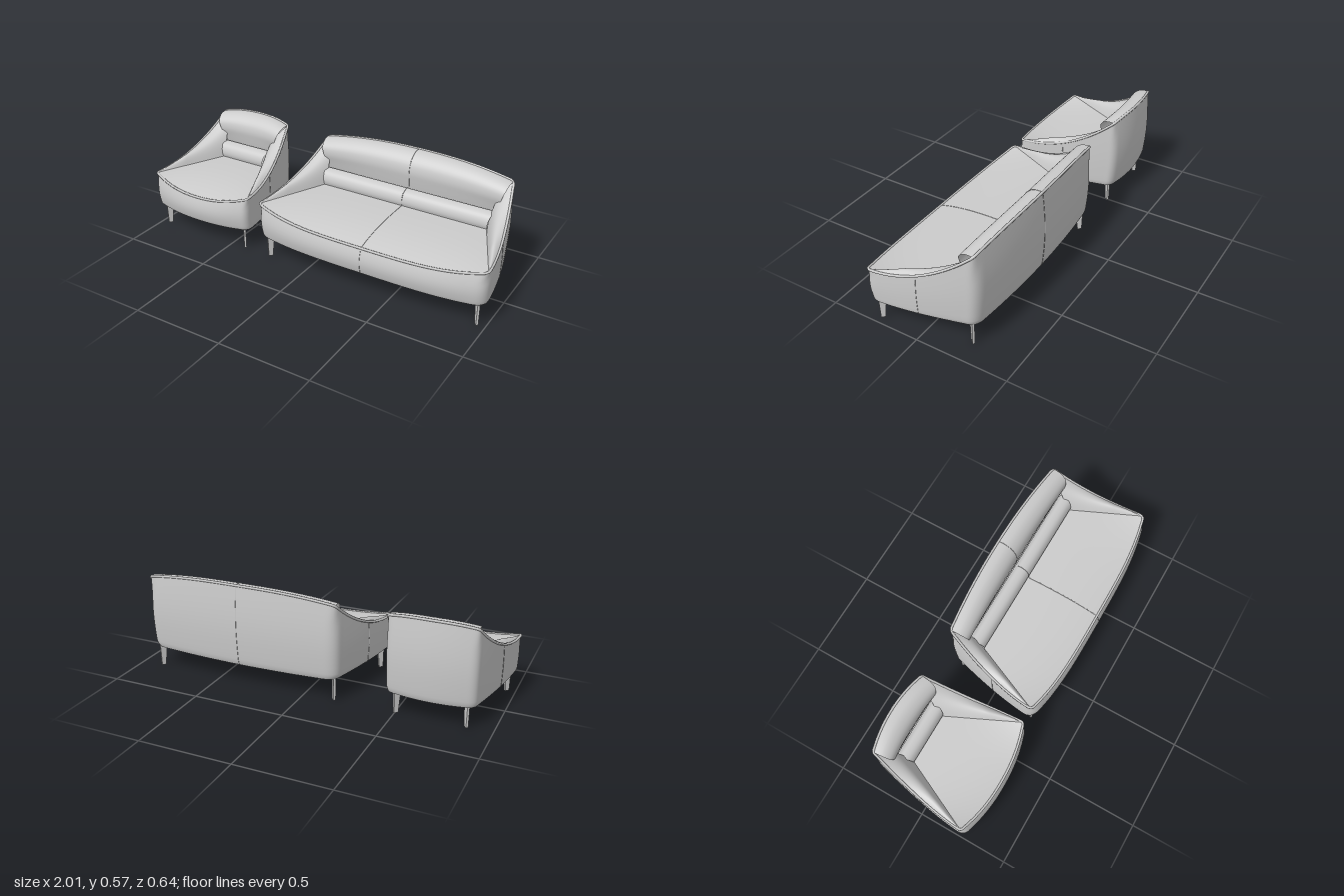
import * as THREE from 'three';
import { ParametricGeometry } from 'three/addons/geometries/ParametricGeometry.js';

const grey = new THREE.MeshStandardMaterial({ color: 0xcccccc, side: THREE.DoubleSide });
const V = (x, y, z) => new THREE.Vector3(x, y, z);
const BASE = 0.122, N = 220;

function add(group, name, geometry) {
  const mesh = new THREE.Mesh(geometry, grey);
  mesh.name = name;
  group.add(mesh);
  return mesh;
}

// Smooth surface from a function (u, v) -> Vector3
function patch(fn, nu, nv) {
  const g = new ParametricGeometry((u, v, target) => target.copy(fn(u, v)), nu, nv);
  g.computeVertexNormals();
  return g;
}

function tube(points, radius, closed = false) {
  const curve = new THREE.CatmullRomCurve3(points, closed);
  return new THREE.TubeGeometry(curve, closed ? 260 : 40, radius, 6, closed);
}

// Moving average round a closed loop, which rounds its corners
function smoothLoop(pts, k) {
  return pts.map((_, i) => {
    const sum = V(0, 0, 0);
    for (let d = -k; d <= k; d++) sum.add(pts[(i + d + N) % N]);
    return sum.divideScalar(2 * k + 1);
  });
}

// Thin bracket leg: tapered post with a short arm pointing inwards
function legGeometry() {
  const s = new THREE.Shape();
  [[0.003, 0], [0.026, 0], [0.036, 0.1], [0.155, 0.112], [0.155, 0.124], [0, 0.124]]
    .forEach(([a, y], i) => (i ? s.lineTo(a, y) : s.moveTo(a, y)));
  const g = new THREE.ExtrudeGeometry(s, { depth: 0.012, bevelEnabled: false });
  return g.translate(0, 0, -0.006);
}

function seatUnit({ name, x, wf, wb, ws, crown, p, seam, rearLeg }) {
  const unit = new THREE.Group();
  unit.name = name;
  unit.position.x = x;

  // Rim curves: t runs -1..1 across, s runs 0..1 from front to back
  const hump = (t, e) => 1 - Math.abs(t) ** e;
  const front = t => V(t * wf, 0.315 - 0.045 * hump(t, p), 0.26 + 0.05 * hump(t, p));
  const side = (s, m) => V(m * (wf + (wb - wf) * s ** 1.5), 0.315 + 0.215 * s ** 2.2, 0.26 - 0.53 * s);
  const back = t => V(t * wb, 0.53 + crown * hump(t, 2.5), -0.27 - 0.03 * hump(t, 2));

  const raw = [];
  const K = 30;
  for (let i = 0; i < K; i++) raw.push(front(2 * i / K - 1));
  for (let i = 0; i < K; i++) raw.push(side(i / K, 1));
  for (let i = 0; i < K; i++) raw.push(back(1 - 2 * i / K));
  for (let i = 0; i < K; i++) raw.push(side(1 - i / K, -1));
  const spaced = new THREE.CatmullRomCurve3(raw, true).getSpacedPoints(N).slice(0, N);
  const rim = smoothLoop(spaced, 1);
  const soft = smoothLoop(spaced, 3);

  // Outer shell: rim outline dropped to the base with a slight belly
  const shellPoint = (i, v) => {
    const q = rim[i].clone().lerp(soft[i], Math.min(1, (1 - v) * 4));
    const belly = Math.sin(Math.PI * v);
    const tuck = 1 - 0.02 * (1 - Math.min(v / 0.08, 1)) ** 2;
    return V(q.x * (1 + 0.008 * belly) * tuck, BASE + (rim[i].y - BASE) * v, q.z * (1 + 0.05 * belly) * tuck);
  };
  const rows = [0, 0.02, 0.045, 0.08, 0.16, 0.28, 0.4, 0.52, 0.64, 0.76, 0.86, 0.94, 1];
  const pos = [], idx = [];
  rows.forEach((v, j) => {
    for (let i = 0; i < N; i++) {
      pos.push(...shellPoint(i, v).toArray());
      if (j === 0) continue;
      const n = (i + 1) % N, a = (j - 1) * N, b = j * N;
      idx.push(a + i, a + n, b + n, a + i, b + n, b + i);
    }
  });
  const shell = new THREE.BufferGeometry();
  shell.setAttribute('position', new THREE.Float32BufferAttribute(pos, 3));
  shell.setIndex(idx);
  shell.computeVertexNormals();
  add(unit, 'outerShell', shell);

  // Flat underside
  const outline = new THREE.Shape(rim.map((_, i) => {
    const q = shellPoint(i, 0);
    return new THREE.Vector2(q.x, q.z);
  }));
  add(unit, 'underside', new THREE.ShapeGeometry(outline).rotateX(Math.PI / 2).translate(0, BASE, 0));

  add(unit, 'rimPiping', tube(rim, 0.007, true));

  // Seat cushion, falling to the dipped front rim
  const seat = (u, v) => {
    const t = 2 * u - 1, f = front(t), y0 = 0.315 - 0.005 * v;
    return V(f.x + (t * ws - f.x) * v, y0 - (0.315 - f.y) * (1 - v) ** 3, f.z + (-0.13 - f.z) * v);
  };
  add(unit, 'seat', patch(seat, 40, 24));

  // Padded inner arms
  for (const m of [1, -1]) {
    const arm = (u, v) => {
      const s = m > 0 ? 1 - u : u;
      const low = V(m * (wf + (ws - wf) * s), 0.315 - 0.005 * s, 0.26 - 0.38 * s);
      const q = low.lerp(side(s, m), v);
      const puff = Math.sin(Math.PI * v) * Math.min(1, 2.5 * s);
      q.x -= m * 0.02 * puff * s;
      q.y += 0.035 * puff * (1 - 0.4 * s);
      return q;
    };
    add(unit, m > 0 ? 'leftInnerArm' : 'rightInnerArm', patch(arm, 30, 16));
  }

  // Lumbar roll and back pad swept across from profiles of (width blend, y, z)
  const profile = list => new THREE.CatmullRomCurve3(list.map(q => V(...q)));
  const rollLine = profile([[0, 0.295, -0.125], [0.05, 0.33, -0.115], [0.15, 0.37, -0.127],
    [0.25, 0.388, -0.155], [0.3, 0.388, -0.18], [0.3, 0.37, -0.2]]);
  const roll = (u, v) => {
    const q = rollLine.getPoint(v);
    return V((2 * u - 1) * (ws + (wb - ws) * q.x), q.y, q.z);
  };
  add(unit, 'lumbarRoll', patch(roll, 24, 20));

  const padLine = profile([[0.3, 0.36, -0.205], [0.42, 0.42, -0.195], [0.65, 0.48, -0.19],
    [0.85, 0.53, -0.208], [0.95, 0.56, -0.245], [0.99, 0.567, -0.28], [1, 0.565, -0.3]]);
  const pad = (u, v) => {
    const t = 2 * u - 1, q = padLine.getPoint(v), r = back(t);
    const y = 0.38 + (q.y - 0.38) * (r.y - 0.38) / 0.185;
    return V(t * (ws + (wb - ws) * q.x), y, q.z + (r.z + 0.3) * q.x ** 2);
  };
  add(unit, 'backPad', patch(pad, 40, 24));

  // Seams: upright on each side, and down the middle where wanted
  const nearest = score => rim.reduce((best, q, i) => (score(q) < score(rim[best]) ? i : best), 0);
  const upright = i => rows.map(v => shellPoint(i, v));
  const line = fn => Array.from({ length: 15 }, (_, i) => fn(0.5, i / 14));
  for (const m of [1, -1]) {
    const i = nearest(q => Math.abs(q.z - 0.01) + (q.x * m < 0 ? 9 : 0));
    add(unit, 'sideSeam', tube(upright(i), 0.0018));
  }
  if (seam) {
    for (const m of [1, -1]) {
      const i = nearest(q => Math.abs(q.x) + (q.z * m < 0 ? 9 : 0));
      add(unit, 'middleSeam', tube(upright(i), 0.0018));
    }
    for (const fn of [seat, roll, pad]) add(unit, 'middleSeam', tube(line(fn), 0.0018));
    add(unit, 'middleSeam', tube([V(0, BASE, 0.3), V(0, BASE, 0), V(0, BASE, -0.29)], 0.0018));
  }

  // Four legs, arms turned towards the middle
  for (const m of [1, -1]) {
    for (const f of [1, -1]) {
      const leg = add(unit, f > 0 ? 'frontLeg' : 'rearLeg', legGeometry());
      leg.position.set(m * (f > 0 ? wf - 0.035 : rearLeg), 0, f * 0.247);
      leg.rotation.y = Math.atan2(f * 0.12, -m * 0.1);
    }
  }
  return unit;
}

export function createModel() {
  const model = new THREE.Group();
  model.name = 'sofaAndArmchair';
  model.add(seatUnit({ name: 'armchair', x: -0.684, wf: 0.313, wb: 0.222, ws: 0.137, crown: 0.02, p: 2.2, seam: false, rearLeg: 0.19 }));
  model.add(seatUnit({ name: 'sofa', x: 0.354, wf: 0.643, wb: 0.54, ws: 0.475, crown: 0.037, p: 3.5, seam: true, rearLeg: 0.53 }));
  return model;
}
